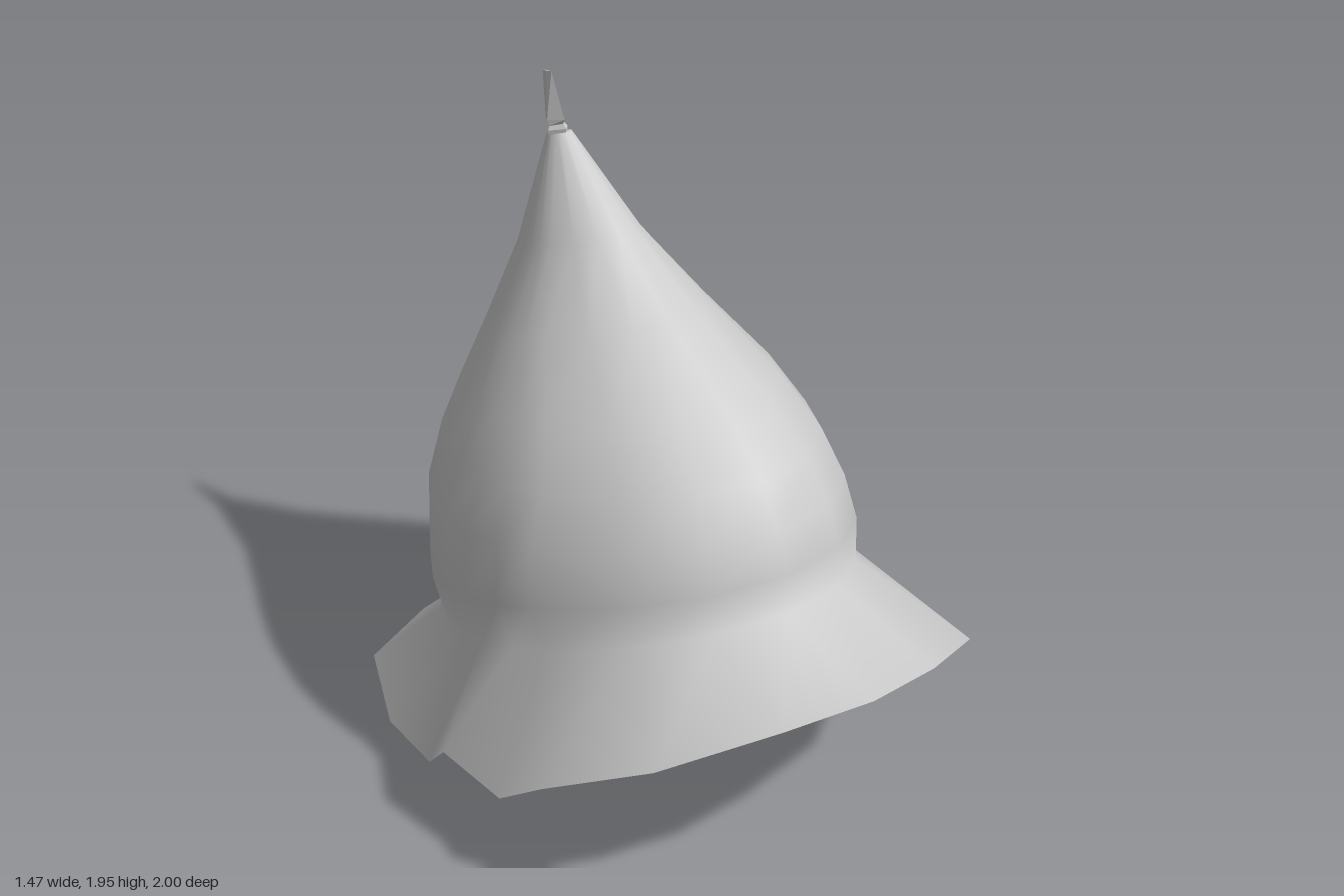
import * as THREE from 'three';

// Skin a stack of closed rings (bottom to top, each a list of [x, y, z])
function loft(rings, closeTop) {
  const n = rings[0].length, pos = rings.flat(2), idx = [];
  for (let r = 0; r < rings.length - 1; r++) {
    for (let i = 0; i < n; i++) {
      const j = (i + 1) % n, a = r * n + i, b = r * n + j;
      idx.push(a, b, b + n, a, b + n, a + n);
    }
  }
  if (closeTop) {
    const top = (rings.length - 1) * n;
    for (let i = 1; i < n - 1; i++) idx.push(top, top + i, top + i + 1);
  }
  const g = new THREE.BufferGeometry();
  g.setAttribute('position', new THREE.Float32BufferAttribute(pos, 3));
  g.setIndex(idx);
  g.computeVertexNormals();
  return g;
}

// Mirror a front-to-back half outline into a closed ring
const mirror = half => [...half, ...half.slice(1, -1).reverse().map(([x, y, z]) => [-x, y, z])];

// Tilted elliptical ring given by its front and back points and half width
const steps = [0, 1, 2, 3, 3.5, 4, 4.5, 5, 6, 7, 8];
function ellipseRing([frontZ, frontY, backZ, backY, halfX]) {
  return mirror(steps.map(s => {
    const a = s * Math.PI / 8, k = (1 + Math.cos(a)) / 2;
    return [s === 8 ? 0 : halfX * Math.sin(a), backY + (frontY - backY) * k, backZ + (frontZ - backZ) * k];
  }));
}

export function createModel() {
  const group = new THREE.Group();
  const shell = new THREE.MeshStandardMaterial({ color: 0xcccccc, side: THREE.DoubleSide });
  const faceted = new THREE.MeshStandardMaterial({ color: 0xcccccc, side: THREE.DoubleSide, flatShading: true });

  // Flared brim edge with a notch at each side
  const brimEdge = mirror([
    [0, 0.74, 1], [0.245, 0.71, 0.945], [0.525, 0.59, 0.77], [0.675, 0.40, 0.46], [0.70, 0.26, 0.28],
    [0.735, 0.28, 0.04], [0.695, 0.125, -0.12], [0.695, 0.125, -0.35], [0.54, 0.07, -0.735],
    [0.26, 0.03, -0.92], [0, 0, -1],
  ]);

  // Crown rings: frontZ, frontY, backZ, backY, halfX
  const crown = [
    [0.63, 0.80, -0.73, 0.245, 0.545],
    [0.625, 0.92, -0.815, 0.39, 0.56],
    [0.58, 1.02, -0.825, 0.68, 0.535],
    [0.51, 1.145, -0.79, 0.87, 0.475],
    [0.365, 1.265, -0.73, 1.03, 0.40],
    [0.09, 1.42, -0.67, 1.19, 0.285],
    [-0.17, 1.59, -0.59, 1.43, 0.15],
    [-0.43, 1.79, -0.505, 1.765, 0.035],
  ].map(ellipseRing);
  const hat = new THREE.Mesh(loft([brimEdge, ...crown], true), shell);
  hat.name = 'crownAndBrim';
  group.add(hat);

  // Flat finial leaning back: frontZ, frontY, backZ, backY, halfX
  const finialRings = [
    [-0.43, 1.785, -0.51, 1.76, 0.03],
    [-0.43, 1.80, -0.515, 1.775, 0.032],
    [-0.445, 1.81, -0.51, 1.785, 0.024],
    [-0.437, 1.825, -0.535, 1.80, 0.026],
    [-0.50, 1.945, -0.545, 1.935, 0.003],
  ].map(([fz, fy, bz, by, w]) => mirror([[0, fy, fz], [w, (fy + by) / 2, (fz + bz) / 2], [0, by, bz]]));
  const finial = new THREE.Mesh(loft(finialRings, true), faceted);
  finial.name = 'finial';
  group.add(finial);

  return group;
}
